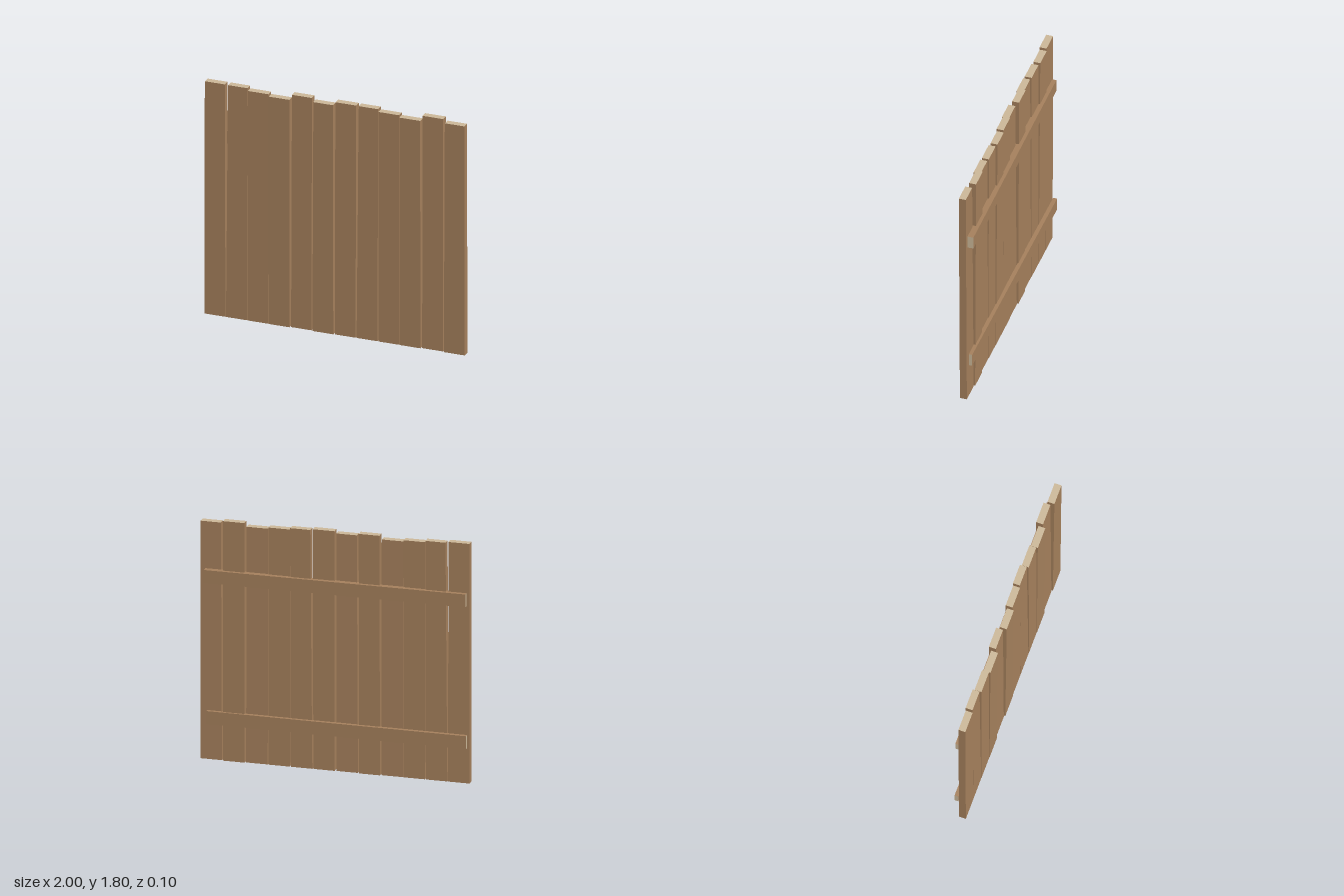
import * as THREE from 'three';

const wood = new THREE.MeshStandardMaterial({ color: 0xa5805c });
wood.name = 'wood';
const endGrain = new THREE.MeshStandardMaterial({ color: 0xcbb798 });
endGrain.name = 'endGrain';

// Box whose vertices are moved by a rule; materials follow the box sides +x -x +y -y +z -z
function board(name, materials, place) {
  const geometry = new THREE.BoxGeometry(1, 1, 1);
  const p = geometry.attributes.position;
  for (let i = 0; i < p.count; i++) {
    p.setXYZ(i, ...place(p.getX(i) + 0.5, p.getY(i) + 0.5, p.getZ(i) + 0.5));
  }
  geometry.computeVertexNormals();
  const mesh = new THREE.Mesh(geometry, materials);
  mesh.name = name;
  return mesh;
}

const mix = THREE.MathUtils.lerp;

export function createModel() {
  const group = new THREE.Group();
  group.name = 'fencePanel';

  // Upright planks: [bottom left, bottom right, top left, top right, height, bottom back z, top back z]
  const planks = [
    [-1.0, -0.84, -1.0, -0.845, 1.805, -0.015, -0.019],
    [-0.835, -0.675, -0.825, -0.675, 1.8, -0.015, -0.027],
    [-0.67, -0.51, -0.668, -0.51, 1.785, -0.014, -0.015],
    [-0.505, -0.345, -0.505, -0.345, 1.772, -0.012, -0.005],
    [-0.337, -0.18, -0.333, -0.18, 1.805, -0.02, -0.026],
    [-0.17, -0.01, -0.16, -0.008, 1.785, -0.012, -0.005],
    [0.002, 0.16, 0.003, 0.163, 1.805, -0.015, -0.019],
    [0.168, 0.328, 0.18, 0.329, 1.8, -0.015, -0.027],
    [0.335, 0.495, 0.335, 0.495, 1.785, -0.014, -0.015],
    [0.5, 0.66, 0.5, 0.66, 1.772, -0.012, -0.005],
    [0.67, 0.83, 0.67, 0.828, 1.805, -0.02, -0.026],
    [0.84, 1.0, 0.85, 1.0, 1.785, -0.012, -0.004],
  ];
  const plankThick = 0.052;
  const plankMaterials = [wood, wood, endGrain, endGrain, wood, wood];
  planks.forEach(([bl, br, tl, tr, height, zBottom, zTop], i) => {
    group.add(board(`plank${i + 1}`, plankMaterials, (u, v, w) => [
      mix(mix(bl, br, u), mix(tl, tr, u), v),
      v * height,
      mix(zBottom, zTop, v) + w * plankThick,
    ]));
  });

  // Horizontal rails across the back: [name, x from, x to, y from, y to, back z at -x, back z at +x, thickness]
  const rails = [
    ['upperRail', -0.98, 0.965, 1.335, 1.432, -0.05, -0.05, 0.05],
    ['lowerRail', -0.985, 0.95, 0.27, 0.367, -0.054, -0.036, 0.03],
  ];
  const railMaterials = [endGrain, endGrain, wood, wood, wood, wood];
  for (const [name, x0, x1, y0, y1, zLeft, zRight, thick] of rails) {
    group.add(board(name, railMaterials, (u, v, w) => [
      mix(x0, x1, u),
      mix(y0, y1, v),
      mix(zLeft, zRight, u) + w * thick,
    ]));
  }
  return group;
}
